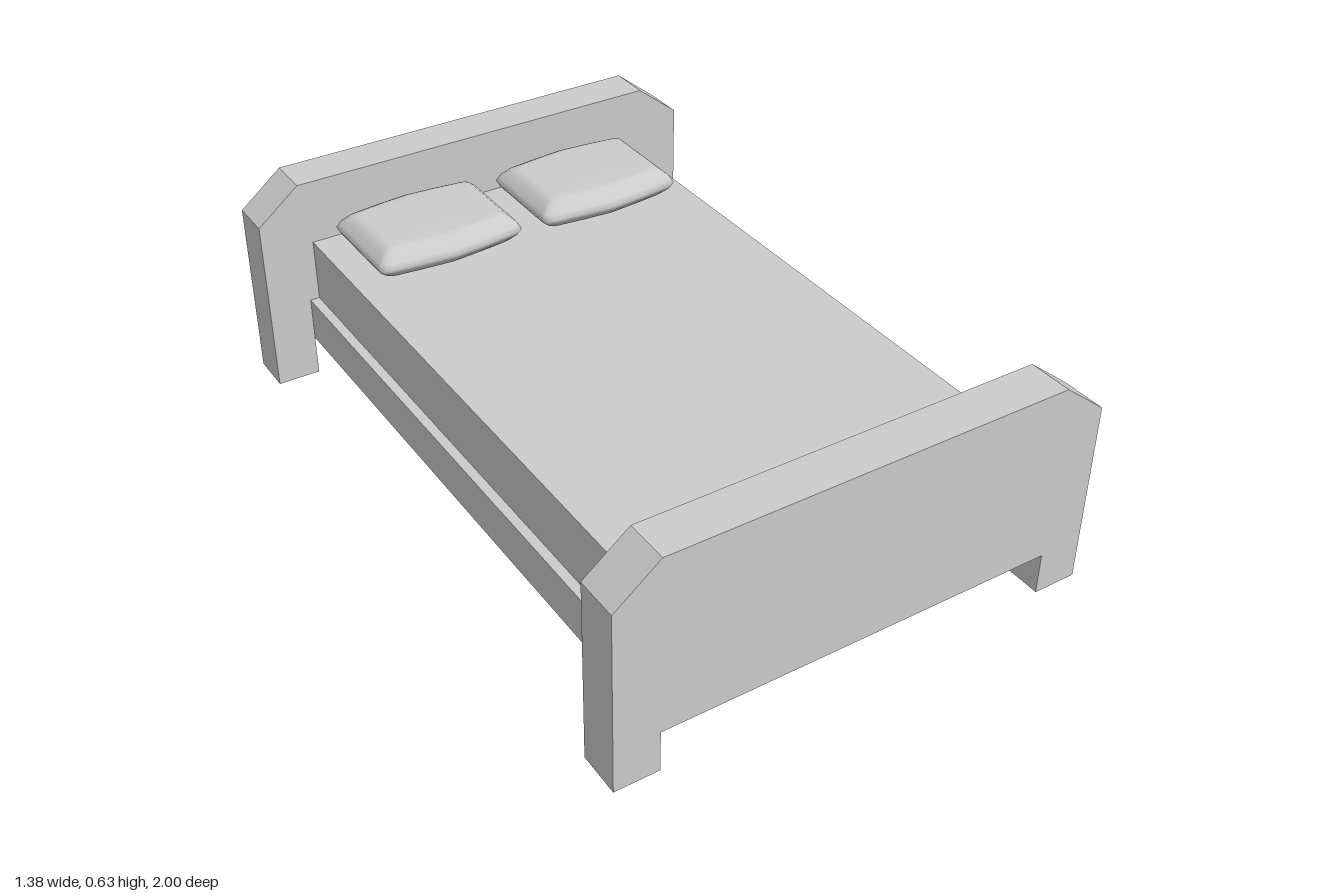
import * as THREE from 'three';

const material = new THREE.MeshStandardMaterial({ color: 0xcccccc, roughness: 0.8 });

function add(parent, name, geometry, x = 0, y = 0, z = 0) {
  const mesh = new THREE.Mesh(geometry, material);
  mesh.name = name;
  mesh.position.set(x, y, z);
  parent.add(mesh);
  return mesh;
}

// End board: chamfered top corners, two legs cut out of the same slab
function endBoardGeometry() {
  const half = [[0.565, 0.12], [0.565, 0], [0.69, 0], [0.69, 0.527], [0.565, 0.627]];
  const mirrored = half.map(([x, y]) => [-x, y]).reverse();
  const shape = new THREE.Shape([...half, ...mirrored].map(([x, y]) => new THREE.Vector2(x, y)));
  return new THREE.ExtrudeGeometry(shape, { depth: 0.125, bevelEnabled: false });
}

// Pillow: a soft six-sided outline lofted through inset rings, top and bottom
function pillowGeometry() {
  const halfX = 0.222, halfZ = 0.177;
  const quarter = [[0.222, 0], [0.222, 0.13], [0.219, 0.144], [0.208, 0.153], [0.19, 0.157], [0.1, 0.168]];
  const outline = [
    ...quarter,
    [0, halfZ],
    ...quarter.slice(1).reverse().map(([x, z]) => [-x, z]),
    ...quarter.map(([x, z]) => [-x, -z]),
    [0, -halfZ],
    ...quarter.slice(1).reverse().map(([x, z]) => [x, -z]),
  ];
  // [inset, height] from the middle of the underside to the middle of the top
  const upper = [[0.008, 0.015], [0.03, 0.036], [0.045, 0.044], [0.06, 0.046]];
  const profile = [
    ...upper.map(([t, y]) => [t, -y]).reverse(),
    [0, 0],
    ...upper,
  ];
  const rings = profile.map(([t, y]) => [1 - t / halfX, 1 - t / halfZ, y]);
  rings.unshift([0, 0, -0.046]);
  rings.push([0, 0, 0.046]);

  const positions = [], index = [], n = outline.length;
  for (const [sx, sz, y] of rings) {
    for (const [x, z] of outline) positions.push(x * sx, y, z * sz);
  }
  for (let r = 0; r < rings.length - 1; r++) {
    for (let i = 0; i < n; i++) {
      const a = r * n + i, b = r * n + (i + 1) % n;
      const c = a + n, d = b + n;
      if (r > 0) index.push(a, c, b);
      if (r < rings.length - 2) index.push(b, c, d);
      if (r === 0) continue;
    }
  }
  const geometry = new THREE.BufferGeometry();
  geometry.setAttribute('position', new THREE.Float32BufferAttribute(positions, 3));
  geometry.setIndex(index);
  geometry.computeVertexNormals();
  // The collapsed centre points face straight down and up
  const normal = geometry.attributes.normal;
  for (let i = 0; i < n; i++) {
    normal.setXYZ(i, 0, -1, 0);
    normal.setXYZ((rings.length - 1) * n + i, 0, 1, 0);
  }
  return geometry;
}

export function createModel() {
  const bed = new THREE.Group();
  bed.name = 'bed';

  // Headboard and footboard
  const board = endBoardGeometry();
  add(bed, 'headboard', board, 0, 0, -1);
  add(bed, 'footboard', board, 0, 0, 0.875);

  // Frame and mattress between the boards
  add(bed, 'bedFrame', new THREE.BoxGeometry(1.13, 0.13, 1.75), 0, 0.185, 0);
  add(bed, 'mattress', new THREE.BoxGeometry(1.075, 0.187, 1.745), 0, 0.3425, -0.0025);

  // Two pillows at the head end
  const pillow = pillowGeometry();
  add(bed, 'rightPillow', pillow, -0.262, 0.494, -0.682);
  add(bed, 'leftPillow', pillow, 0.25, 0.494, -0.682);

  return bed;
}
